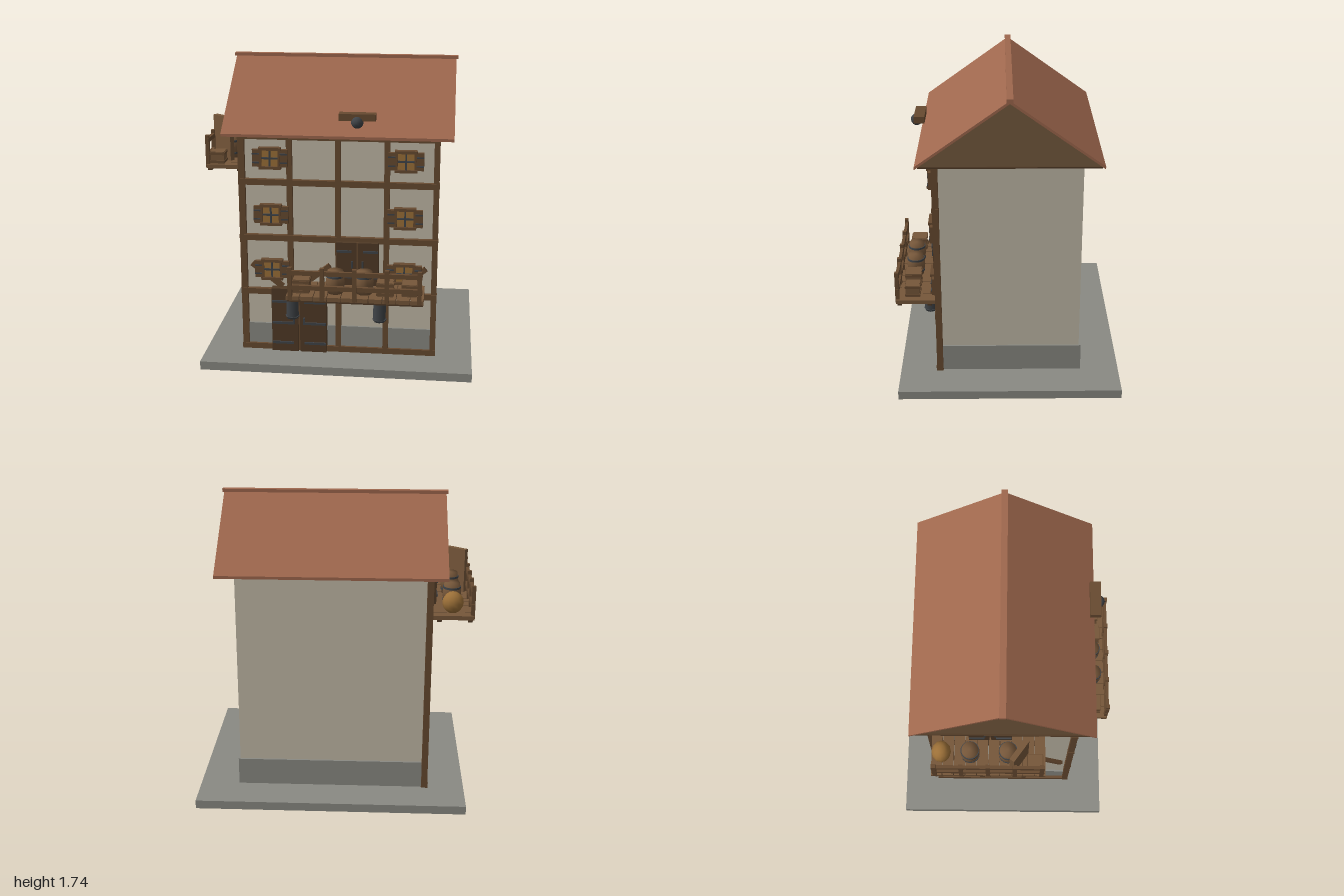
import * as THREE from 'three';

const mat = (name, color) => {
  const m = new THREE.MeshStandardMaterial({ color });
  m.name = name;
  return m;
};

export function createModel() {
  const stone = mat('stone', 0x8a8a83), plaster = mat('plaster', 0xc2baa8);
  const tile = mat('roof tile', 0x9e674d), timber = mat('timber', 0x674a30);
  const darkWood = mat('dark wood', 0x503a26), gableWood = mat('gable wood', 0x755a3e);
  const plank = mat('plank', 0x76573a), ochre = mat('ochre', 0x9c7038), iron = mat('iron', 0x404448);

  const model = new THREE.Group();
  model.name = 'timberHouse';
  // The house stands diagonally: its long front faces +x +z
  const house = new THREE.Group();
  house.name = 'house';
  house.rotation.y = Math.PI / 4;
  model.add(house);

  const add = (parent, name, geo, m, x, y, z) => {
    const mesh = new THREE.Mesh(geo, m);
    mesh.name = name;
    mesh.position.set(x, y, z);
    parent.add(mesh);
    return mesh;
  };
  const box = (parent, name, m, w, h, d, x, y, z) =>
    add(parent, name, new THREE.BoxGeometry(w, h, d), m, x, y, z);
  const cyl = (parent, name, m, r1, r2, h, x, y, z, n = 12) =>
    add(parent, name, new THREE.CylinderGeometry(r1, r2, h, n), m, x, y, z);

  // Ground slab, plinth and walls
  box(house, 'groundSlab', stone, 1.556, 0.05, 1.272, 0, 0.025, 0);
  box(house, 'plinth', stone, 1.104, 0.16, 0.828, 0, 0.13, 0);
  box(house, 'walls', plaster, 1.084, 1.31, 0.804, 0, 0.705, 0);

  // Gable core: triangular prism under the roof
  const tri = new THREE.Shape([[-0.49, 1.36], [0.49, 1.36], [0, 1.72]].map(p => new THREE.Vector2(...p)));
  const core = new THREE.ExtrudeGeometry(tri, { depth: 1.25, bevelEnabled: false });
  core.rotateY(Math.PI / 2);
  add(house, 'gables', core, gableWood, -0.625, 0, 0);
  box(house, 'soffit', darkWood, 1.27, 0.008, 0.98, 0, 1.36, 0);

  // Two roof slopes made from one sloping cross-section
  for (const s of [1, -1]) {
    const pts = [[0, 1.715], [s * 0.507, 1.352], [s * 0.507, 1.368], [0, 1.732]];
    const slope = new THREE.ExtrudeGeometry(
      new THREE.Shape(pts.map(p => new THREE.Vector2(...p))), { depth: 1.28, bevelEnabled: false });
    slope.rotateY(-Math.PI / 2);
    add(house, 'roofSlope', slope, tile, 0.64, 0, 0);
  }
  box(house, 'ridgeCap', tile, 1.3, 0.018, 0.035, 0, 1.734, 0);

  // Facades: local x runs along the wall, local z points outwards
  const facade = (name, angle, x, z) => {
    const g = new THREE.Group();
    g.name = name;
    g.rotation.y = angle;
    g.position.set(x, 0, z);
    house.add(g);
    return g;
  };
  const front = facade('longFacade', 0, 0, 0.402);
  const side = facade('shortFacade', -Math.PI / 2, -0.542, 0);

  // Posts, rails and one diagonal brace in each bay
  const frame = (f, half, bays, beams) => {
    const step = 2 * half / bays;
    for (let i = 0; i <= bays; i++) {
      const x = -half + i * step;
      box(f, 'post', timber, 0.032, 1.3, 0.036, x, 0.705, 0.005);
      if (i < bays) {
        const b = box(f, 'brace', timber, 0.225, 0.03, 0.03, x + step / 2, 0.515, 0.006);
        b.rotation.z = i % 2 ? 0.66 : -0.66;
      }
    }
    beams.forEach(y => box(f, 'beam', timber, 2 * half + 0.035, 0.034, 0.04, 0, y, 0.006));
  };
  frame(front, 0.55, 4, [0.068, 0.415, 0.745, 1.075, 1.34]);
  frame(side, 0.41, 3, [0.068, 1.34]);

  // Shuttered windows
  const windowUnit = (x, y) => {
    const g = new THREE.Group();
    g.name = 'window';
    g.position.set(x, y, 0.02);
    front.add(g);
    box(g, 'pane', ochre, 0.1, 0.11, 0.02, 0, 0, 0.01);
    for (const s of [-1, 1]) {
      box(g, 'shutter', timber, 0.042, 0.1, 0.022, s * 0.078, 0, 0.014);
      box(g, 'frameRail', timber, 0.125, 0.016, 0.035, 0, s * 0.054, 0.018);
      box(g, 'frameStile', timber, 0.012, 0.11, 0.03, s * 0.052, 0, 0.016);
      box(g, 'shutterHinge', iron, 0.042, 0.008, 0.006, s * 0.078, 0.025, 0.027);
      box(g, 'shutterHinge', iron, 0.042, 0.008, 0.006, s * 0.078, -0.025, 0.027);
    }
    box(g, 'windowBarUpright', iron, 0.01, 0.1, 0.01, 0, 0, 0.023);
    box(g, 'windowBarCross', iron, 0.1, 0.01, 0.01, 0, 0, 0.023);
  };
  for (const y of [0.56, 0.89, 1.22]) for (const x of [-0.38, 0.38]) windowUnit(x, y);

  // Double doors with iron straps
  const door = (f, x, y0, w, h, straps) => {
    const g = new THREE.Group();
    g.name = 'doubleDoor';
    g.position.set(x, y0, 0);
    f.add(g);
    box(g, 'doorBack', timber, 0.03, h, 0.03, 0, h / 2, 0.02);
    for (const s of [-1, 1]) {
      box(g, 'doorLeaf', darkWood, w / 2 - 0.01, h, 0.045, s * w / 4, h / 2, 0.028);
      box(g, 'handle', iron, 0.01, 0.04, 0.015, s * 0.03, h / 2, 0.055);
      straps.forEach(t => box(g, 'strap', iron, w / 2 - 0.04, 0.014, 0.01, s * (w / 4 + 0.012), h * t, 0.053));
    }
  };
  door(front, -0.226, 0.055, 0.33, 0.39, [0.14, 0.46, 0.8]);
  door(front, 0.113, 0.485, 0.25, 0.255, [0.2, 0.8]);
  door(side, -0.07, 1.12, 0.25, 0.24, [0.2, 0.8]);

  // Balcony with plank floor and railing
  const balcony = (f, x, top, w) => {
    const g = new THREE.Group();
    g.name = 'balcony';
    g.position.set(x, top, 0);
    f.add(g);
    const n = 10;
    for (let i = 0; i < n; i++)
      box(g, 'floorPlank', plank, w / n - 0.004, 0.024, 0.235, (i + 0.5) * w / n - w / 2, -0.012, 0.135);
    for (const z of [0.06, 0.232]) box(g, 'floorBeam', darkWood, w - 0.01, 0.02, 0.025, 0, -0.026, z);
    for (let i = 0; i < 5; i++)
      box(g, 'railPost', timber, 0.024, 0.19, 0.022, (w - 0.05) * (i / 4 - 0.5), 0.075, 0.245);
    for (const y of [0.052, 0.138]) box(g, 'rail', timber, w - 0.02, 0.026, 0.018, 0, y, 0.243);
    return g;
  };
  // Barrel with iron hoops
  const barrel = (g, x, z, h) => {
    const b = add(g, 'barrel', new THREE.LatheGeometry(
      [[0, 0], [0.044, 0], [0.054, h / 2], [0.044, h], [0, h]].map(p => new THREE.Vector2(...p)), 14), plank, x, 0, z);
    for (const t of [0.22, 0.78])
      add(b, 'hoop', new THREE.CylinderGeometry(0.052, 0.052, 0.012, 14), iron, 0, h * t, 0);
  };
  const crate = (g, x, z, s) => {
    box(g, 'crate', plank, s, s * 0.9, s, x, s * 0.45, z);
    for (const y of [0.15, 0.75]) box(g, 'crateSlat', timber, s + 0.008, 0.014, s + 0.008, x, y * s, z);
  };

  const lower = balcony(front, 0.115, 0.485, 0.77);
  barrel(lower, -0.115, 0.163, 0.13);
  barrel(lower, 0.048, 0.157, 0.13);
  crate(lower, -0.305, 0.16, 0.09);
  crate(lower, 0.168, 0.163, 0.09);
  crate(lower, 0.302, 0.158, 0.08);

  const upper = balcony(side, -0.08, 1.12, 0.64);
  barrel(upper, -0.1, 0.138, 0.13);
  barrel(upper, 0.11, 0.138, 0.13);
  crate(upper, 0.26, 0.19, 0.08);
  const sack = add(upper, 'sack', new THREE.SphereGeometry(0.06, 12, 8), ochre, -0.26, 0.062, 0.135);
  sack.scale.set(0.9, 1.05, 1);
  box(upper, 'tallBoard', plank, 0.14, 0.26, 0.03, 0.17, 0.13, 0.175).rotation.y = 0.95;

  // Hanging lanterns under the lower balcony
  for (const x of [-0.26, 0.244]) {
    const g = new THREE.Group();
    g.name = 'lantern';
    g.position.set(x, 0, 0.072);
    front.add(g);
    cyl(g, 'lanternBody', iron, 0.036, 0.036, 0.11, 0, 0.345, 0, 8);
    cyl(g, 'lanternCap', iron, 0.025, 0.042, 0.018, 0, 0.409, 0, 8);
    cyl(g, 'lanternFoot', iron, 0.042, 0.034, 0.014, 0, 0.286, 0, 8);
    cyl(g, 'lanternHanger', iron, 0.006, 0.006, 0.05, 0, 0.435, 0, 6);
  }

  // Hoist beam and pulley above the eaves
  box(house, 'hoistBeam', timber, 0.2, 0.038, 0.06, 0.117, 1.48, 0.505);
  add(house, 'pulley', new THREE.SphereGeometry(0.034, 12, 8), iron, 0.117, 1.453, 0.525);

  return model;
}
